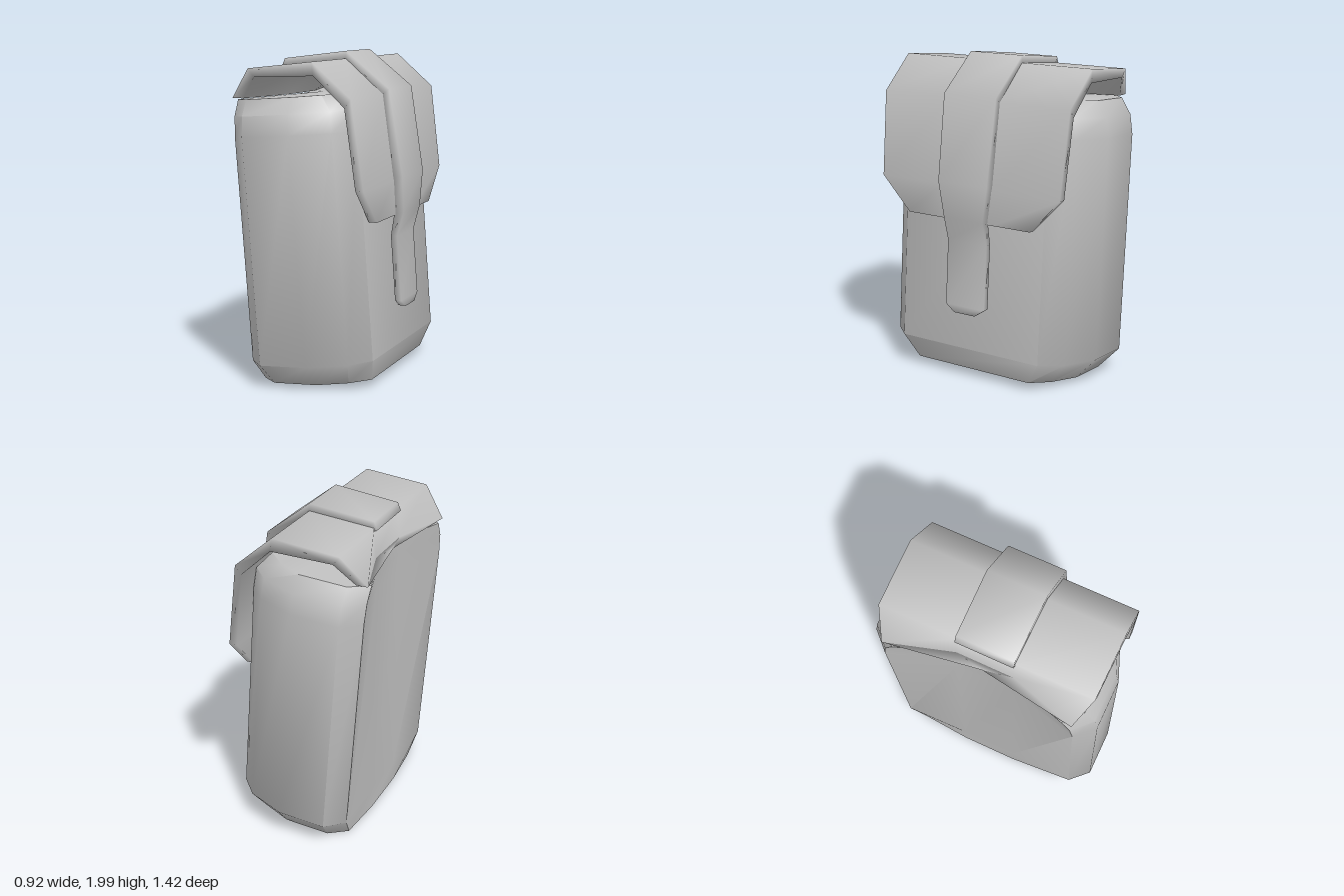
import * as THREE from 'three';
import { toCreasedNormals } from 'three/addons/utils/BufferGeometryUtils.js';

// Skin a list of equal-length closed rings and cap both ends, sharing vertices for soft shading
function loft(rings) {
  const n = rings[0].length, last = rings.length - 1;
  const pos = rings.flat(2), index = [];
  for (let i = 0; i < last; i++) {
    for (let j = 0; j < n; j++) {
      const k = (j + 1) % n;
      const a = i * n + j, b = i * n + k, c = a + n, d = b + n;
      index.push(a, b, d, a, d, c);
    }
  }
  [0, last].forEach((row) => {
    const centre = pos.length / 3;
    for (let axis = 0; axis < 3; axis++) {
      pos.push(rings[row].reduce((s, p) => s + p[axis], 0) / n);
    }
    for (let j = 0; j < n; j++) {
      const a = row * n + j, b = row * n + (j + 1) % n;
      if (row === 0) index.push(centre, b, a);
      else index.push(centre, a, b);
    }
  });
  const g = new THREE.BufferGeometry();
  g.setAttribute('position', new THREE.Float32BufferAttribute(pos, 3));
  g.setIndex(index);
  g.computeVertexNormals();
  return g;
}

// Body ring: leaning bag section with a back that is hollowed in the middle
const LEAN = 0.075;
function bodyRing([h, back, front, zs]) {
  const place = (x, z) => [
    0.025 + x * Math.cos(LEAN) - h * Math.sin(LEAN),
    0.035 + x * Math.sin(LEAN) + h * Math.cos(LEAN),
    z * zs,
  ];
  const half = [[back, 0.6], [back + 0.107, 0.71], [0.05, 0.71], [front - 0.11, 0.62], [front, 0.5]];
  const ring = half.map(([x, z]) => place(x, z));
  half.slice().reverse().forEach(([x, z]) => ring.push(place(x, -z)));
  const y = ring[0][1];
  ring.push([-0.335, y, -0.18], [-0.335, y, 0.18]);
  return ring;
}

export function createModel() {
  const group = new THREE.Group();
  const grey = new THREE.MeshStandardMaterial({ color: 0xc0c0c0 });
  grey.name = 'grey fabric';
  const add = (name, geometry) => {
    const mesh = new THREE.Mesh(geometry, grey);
    mesh.name = name;
    group.add(mesh);
  };

  // Pouch body: height, back x, front x, depth scale
  const body = loft([
    [0, -0.337, 0.337, 0.82],
    [0.14, -0.357, 0.39, 1],
    [1.5, -0.357, 0.39, 1],
    [1.62, -0.357, 0.385, 0.97],
    [1.715, -0.355, 0.31, 0.88],
  ].map(bodyRing));
  add('pouchBody', toCreasedNormals(body, 0.87));

  // Flap: outer x, y, inner x, y, half width
  const flapRows = [
    [-0.46, 1.73, -0.39, 1.73, 0.59],
    [-0.32, 1.91, -0.28, 1.86, 0.66],
    [0.09, 1.955, 0.1, 1.875, 0.665],
    [0.33, 1.75, 0.29, 1.7, 0.66],
    [0.4, 1.23, 0.35, 1.23, 0.64],
    [0.4, 1.02, 0.35, 1.02, 0.44],
  ];
  add('flap', loft(flapRows.map(([ox, oy, ix, iy, w], i) => {
    // the middle of the back edge sits forward, following the hollow back
    const mx = i === 0 ? -0.335 : ox, nx = i === 0 ? -0.29 : ix;
    return [
      [ox, oy, -w], [mx, oy, -0.18], [mx, oy, 0.18], [ox, oy, w],
      [ix, iy, w], [nx, iy, 0.18], [nx, iy, -0.18], [ix, iy, -w],
    ];
  })));

  // Closing strap over the flap, same row layout
  const strapRows = [
    [-0.34, 1.9, -0.3, 1.88, 0.18],
    [-0.32, 1.95, -0.28, 1.89, 0.18],
    [0.09, 2.0, 0.09, 1.93, 0.185],
    [0.37, 1.78, 0.32, 1.74, 0.185],
    [0.455, 1.26, 0.39, 1.25, 0.175],
    [0.45, 1.04, 0.39, 1.02, 0.14],
    [0.41, 0.89, 0.37, 0.89, 0.14],
    [0.44, 0.49, 0.4, 0.49, 0.14],
    [0.445, 0.445, 0.4, 0.445, 0.075],
  ];
  add('strap', loft(strapRows.map(([ox, oy, ix, iy, w]) => [
    [ox, oy, -w], [ox, oy, w], [ix, iy, w], [ix, iy, -w],
  ])));

  return group;
}
